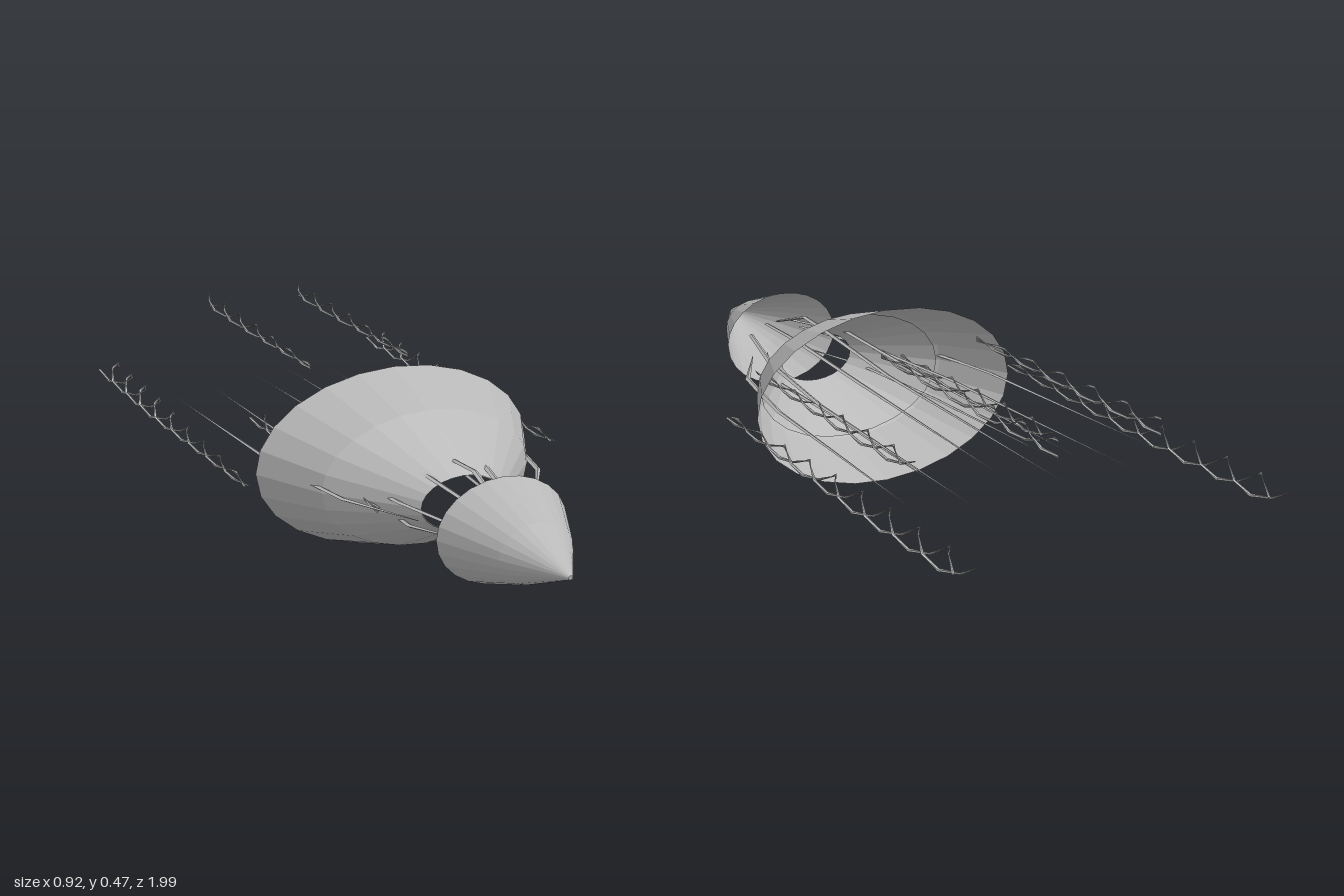
import * as THREE from 'three';

const CY = 0.237; // height of the main axis

export function createModel() {
  const model = new THREE.Group();
  const hullGrey = new THREE.MeshStandardMaterial({ color: 0xb8b8b8, flatShading: true, side: THREE.DoubleSide });
  hullGrey.name = 'hull grey';

  const add = (name, geometry) => {
    const mesh = new THREE.Mesh(geometry, hullGrey);
    mesh.name = name;
    model.add(mesh);
  };

  // Open elliptical shell: profile of [radius, z], squashed in y
  function shell(name, profile, squash) {
    const g = new THREE.LatheGeometry(profile.map(([r, z]) => new THREE.Vector2(r, z)), 24);
    g.rotateX(Math.PI / 2);
    g.scale(1, squash, 1);
    g.translate(0, CY, 0);
    add(name, g);
  }
  shell('noseCone', [[0.17, 0.665], [0.096, 0.83], [0.006, 0.988]], 0.775);
  shell('bellSkirt', [[0.38, 0.065], [0.283, 0.26], [0.11, 0.46]], 0.62);
  shell('bellLiner', [[0.272, 0.262], [0.107, 0.457]], 0.62);

  // Sweep of a small diamond section along z; points are [x, y, z, halfWidth, halfHeight, roll]
  function sweep(points) {
    const pos = [], index = [];
    points.forEach(([x, y, z, w, h, roll = 0], i) => {
      const c = Math.cos(roll), s = Math.sin(roll);
      for (const [u, v] of [[w, 0], [0, h], [-w, 0], [0, -h]]) pos.push(x + u * c - v * s, y + u * s + v * c, z);
      if (i === 0) return;
      for (let k = 0; k < 4; k++) {
        const a = (i - 1) * 4 + k, b = (i - 1) * 4 + (k + 1) % 4;
        index.push(a, a + 4, b, b, a + 4, b + 4);
      }
    });
    const g = new THREE.BufferGeometry();
    g.setAttribute('position', new THREE.Float32BufferAttribute(pos, 3));
    g.setIndex(index);
    g.computeVertexNormals();
    return g;
  }

  // Straight and bent spines, tapered to the rear tip
  const spines = {
    innerSpine: [[0.04, 0.28, 0.68, 0.007, 0.003], [0.08, 0.306, 0.42, 0.008, 0.004],
      [0.087, 0.29, 0.06, 0.007, 0.003], [0.11, 0.275, -0.62, 0.001, 0.001]],
    middleSpine: [[0.08, 0.248, 0.7, 0.007, 0.003], [0.155, 0.25, 0.43, 0.008, 0.004],
      [0.2, 0.247, 0.06, 0.007, 0.003], [0.225, 0.243, -0.69, 0.001, 0.001]],
    lowerSpine: [[0.055, 0.206, 0.65, 0.001, 0.001], [0.135, 0.194, 0.45, 0.007, 0.004],
      [0.15, 0.203, 0.06, 0.006, 0.003], [0.17, 0.2, -0.44, 0.001, 0.001]],
    outerSpine: [[0.155, 0.241, 0.54, 0.001, 0.001], [0.265, 0.248, 0.35, 0.008, 0.004],
      [0.295, 0.249, 0.2, 0.008, 0.004], [0.318, 0.249, 0.06, 0.007, 0.003], [0.355, 0.245, -0.63, 0.001, 0.001]],
  };
  for (const [name, pts] of Object.entries(spines)) {
    for (const s of [1, -1]) add(name + (s > 0 ? 'Left' : 'Right'), sweep(pts.map(([x, ...rest]) => [s * x, ...rest])));
  }
  add('centreSpine', sweep([[0, 0.28, 0.69, 0.007, 0.003], [0, 0.335, 0.52, 0.008, 0.004], [0, 0.328, 0.41, 0.008, 0.004],
    [0, 0.295, 0.06, 0.007, 0.003], [0, 0.268, -0.73, 0.001, 0.001]]));

  // Twin twisted ribbons, widening towards the rear, flat side across the radius
  function tendril(name, x, y, zFront, zRear, radius, phase) {
    const steps = Math.round((zFront - zRear) / (0.25 / 6));
    for (const turn of [0, Math.PI]) {
      const pts = [];
      for (let i = 0; i <= steps; i++) {
        const t = i / steps;
        const r = radius * Math.min(1, 0.2 + 1.3 * (1 - t));
        const a = phase + turn + i * Math.PI / 3;
        pts.push([x + r * Math.cos(a), y + r * Math.sin(a), zRear + (zFront - zRear) * t, 0.004, 0.0015, a]);
      }
      add(name, sweep(pts));
    }
  }
  for (const s of [1, -1]) {
    const side = s > 0 ? 'Left' : 'Right';
    tendril('outerTendril' + side, s * 0.428, 0.235, 0.13, -1, 0.029, 0);
    tendril('upperTendril' + side, s * 0.14, 0.43, -0.15, -0.92, 0.018, Math.PI / 2);
    tendril('middleTendril' + side, s * 0.203, 0.235, 0.42, -0.385, 0.019, 0);
  }
  return model;
}
